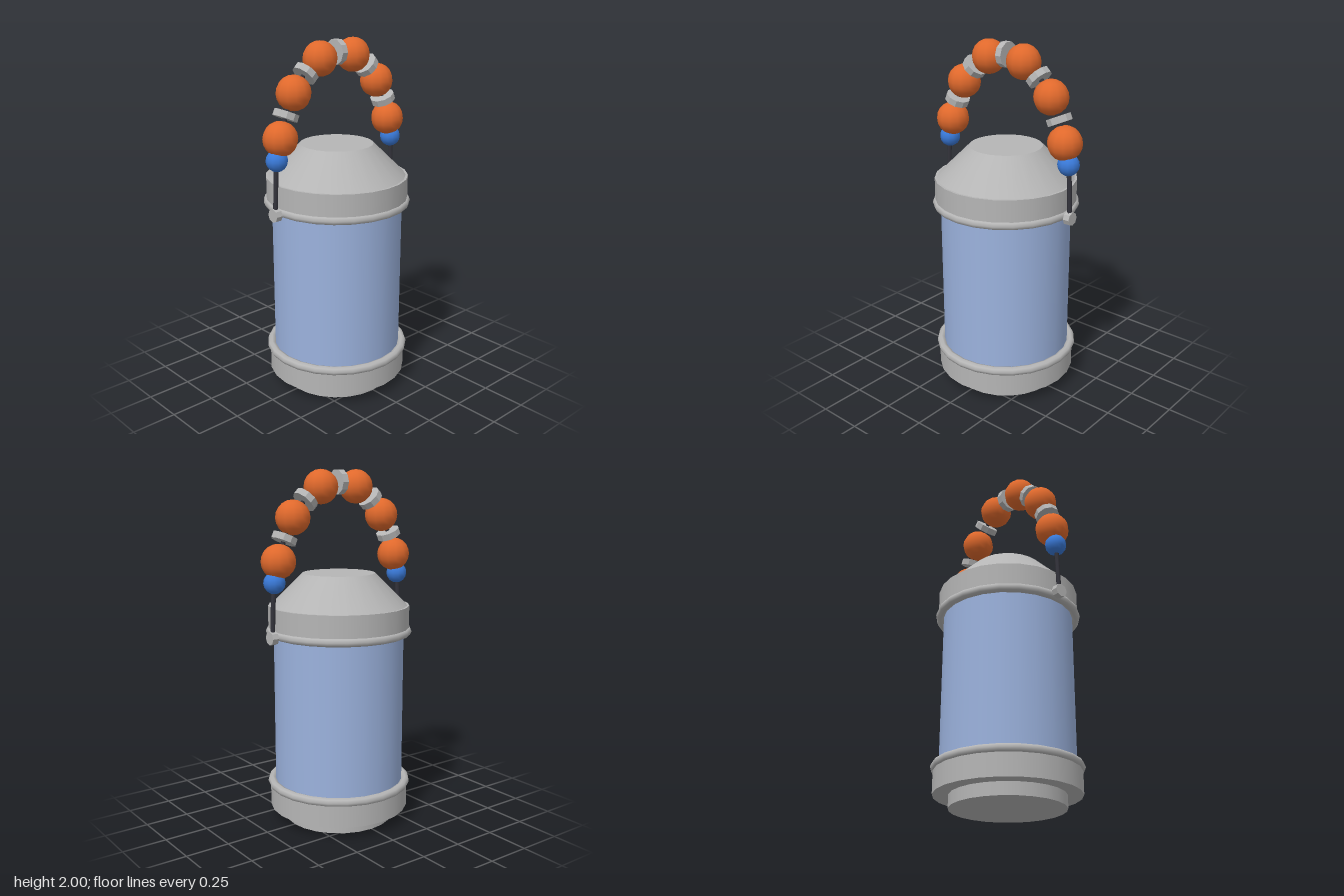
import * as THREE from 'three';
import { toCreasedNormals } from 'three/addons/utils/BufferGeometryUtils.js';

function material(name, color) {
  const m = new THREE.MeshStandardMaterial({ color });
  m.name = name;
  return m;
}

export function createModel() {
  const metal = material('grey metal', 0xb5b5b5);
  const glass = material('pale blue glass', 0x9bb2dd);
  const orange = material('orange bead', 0xe0692c);
  const blue = material('blue bead', 0x3a7ad9);
  const dark = material('dark cord', 0x34343c);

  const model = new THREE.Group();
  model.name = 'canister';

  function add(name, geometry, mat, x = 0, y = 0, tilt = 0) {
    const mesh = new THREE.Mesh(geometry, mat);
    mesh.name = name;
    mesh.position.set(x, y, 0);
    mesh.rotation.z = tilt;
    model.add(mesh);
    return mesh;
  }

  // Upright round part between two heights
  function drum(name, rTop, rBottom, y0, y1, mat) {
    const g = new THREE.CylinderGeometry(rTop, rBottom, y1 - y0, 24);
    return add(name, g, mat, 0, (y0 + y1) / 2);
  }

  // Body
  drum('foot', 0.315, 0.315, 0, 0.08, metal);
  drum('lowerBand', 0.4, 0.4, 0.07, 0.215, metal);
  drum('glassTank', 0.37, 0.37, 0.2, 1.11, glass);
  drum('upperBand', 0.4, 0.4, 1.105, 1.25, metal);
  drum('conicalLid', 0.205, 0.387, 1.25, 1.43, metal);

  // Rolled rims
  for (const [name, y] of [['lowerRim', 0.215], ['upperRim', 1.105]]) {
    const rim = add(name, new THREE.TorusGeometry(0.39, 0.025, 8, 24), metal, 0, y);
    rim.rotation.x = Math.PI / 2;
  }

  // Handle cord
  const half = [[0.445, 1.105], [0.427, 1.4], [0.4, 1.515], [0.36, 1.635],
    [0.305, 1.745], [0.222, 1.84], [0.12, 1.905]];
  const points = [
    ...half.map(([x, y]) => new THREE.Vector3(-x, y, 0)),
    new THREE.Vector3(0, 1.93, 0),
    ...half.slice().reverse().map(([x, y]) => new THREE.Vector3(x, y, 0)),
  ];
  add('handleCord', new THREE.TubeGeometry(new THREE.CatmullRomCurve3(points), 64, 0.013, 6), dark);

  // Beads, spacer discs and side pivots
  const bead = new THREE.SphereGeometry(0.095, 12, 10);
  const smallBead = new THREE.SphereGeometry(0.06, 12, 8);
  const disc = toCreasedNormals(new THREE.CylinderGeometry(0.07, 0.07, 0.037, 10), 0.5);
  const pivot = toCreasedNormals(new THREE.CylinderGeometry(0.038, 0.038, 0.037, 8), 0.5);

  add('topSpacer', disc, metal, 0, 1.93, Math.PI / 2);
  for (const [side, s] of [['left', 1], ['right', -1]]) {
    [[0.4, 1.515], [0.305, 1.745], [0.12, 1.905]].forEach(([x, y], i) =>
      add(`${side}Bead${i + 1}`, bead, orange, s * x, y));
    add(`${side}LowerSpacer`, disc, metal, s * 0.36, 1.635, s * 0.42);
    add(`${side}UpperSpacer`, disc, metal, s * 0.222, 1.837, s * 0.8);
    add(`${side}EndBead`, smallBead, blue, s * 0.427, 1.403);
    add(`${side}Pivot`, pivot, metal, s * 0.445, 1.105, Math.PI / 2);
  }
  return model;
}
